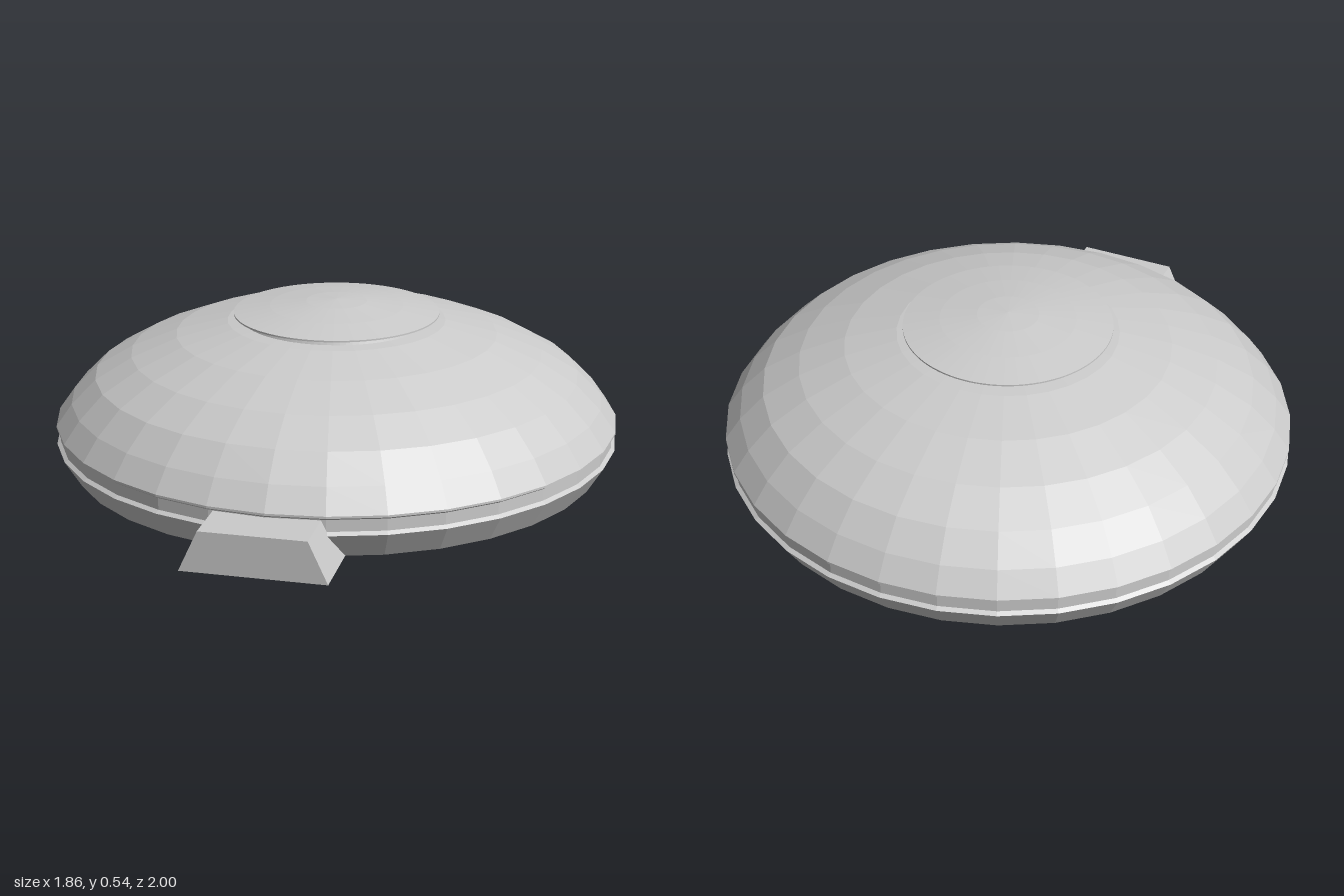
import * as THREE from 'three';

const CENTRE_Z = -0.066;

export function createModel() {
  const group = new THREE.Group();
  const faceted = new THREE.MeshStandardMaterial({ color: 0xcccccc, flatShading: true });

  // Turned part from [radius, height] pairs, listed bottom to top
  const turned = (name, profile, segments) => {
    const points = profile.map(([r, y]) => new THREE.Vector2(r, y));
    const mesh = new THREE.Mesh(new THREE.LatheGeometry(points, segments), faceted);
    mesh.name = name;
    mesh.position.z = CENTRE_Z;
    group.add(mesh);
  };

  // Flared base with a shallow groove under the dome
  turned('base', [
    [0, 0], [0.88, 0], [0.932, 0.085], [0.92, 0.094], [0.92, 0.132], [0.932, 0.14],
  ], 32);

  // Low faceted dome
  turned('dome', [
    [0.932, 0.14], [0.932, 0.147], [0.88, 0.22], [0.8, 0.3], [0.68, 0.37],
    [0.53, 0.43], [0.36, 0.472], [0.3, 0.478], [0, 0.478],
  ], 32);

  // Round cap on a short neck
  turned('cap', [
    [0.315, 0.472], [0.308, 0.49], [0.339, 0.494], [0.339, 0.499],
    [0.22, 0.519], [0.1, 0.534], [0, 0.54],
  ], 96);

  // Sloped entry block at the front, running into the base
  const section = new THREE.Shape([
    [-0.225, 0], [0.225, 0], [0.165, 0.13], [-0.165, 0.13],
  ].map(([x, y]) => new THREE.Vector2(x, y)));
  const block = new THREE.Mesh(
    new THREE.ExtrudeGeometry(section, { depth: 0.3, bevelEnabled: false }), faceted);
  block.name = 'entryBlock';
  block.position.z = 0.7;
  group.add(block);

  return group;
}
